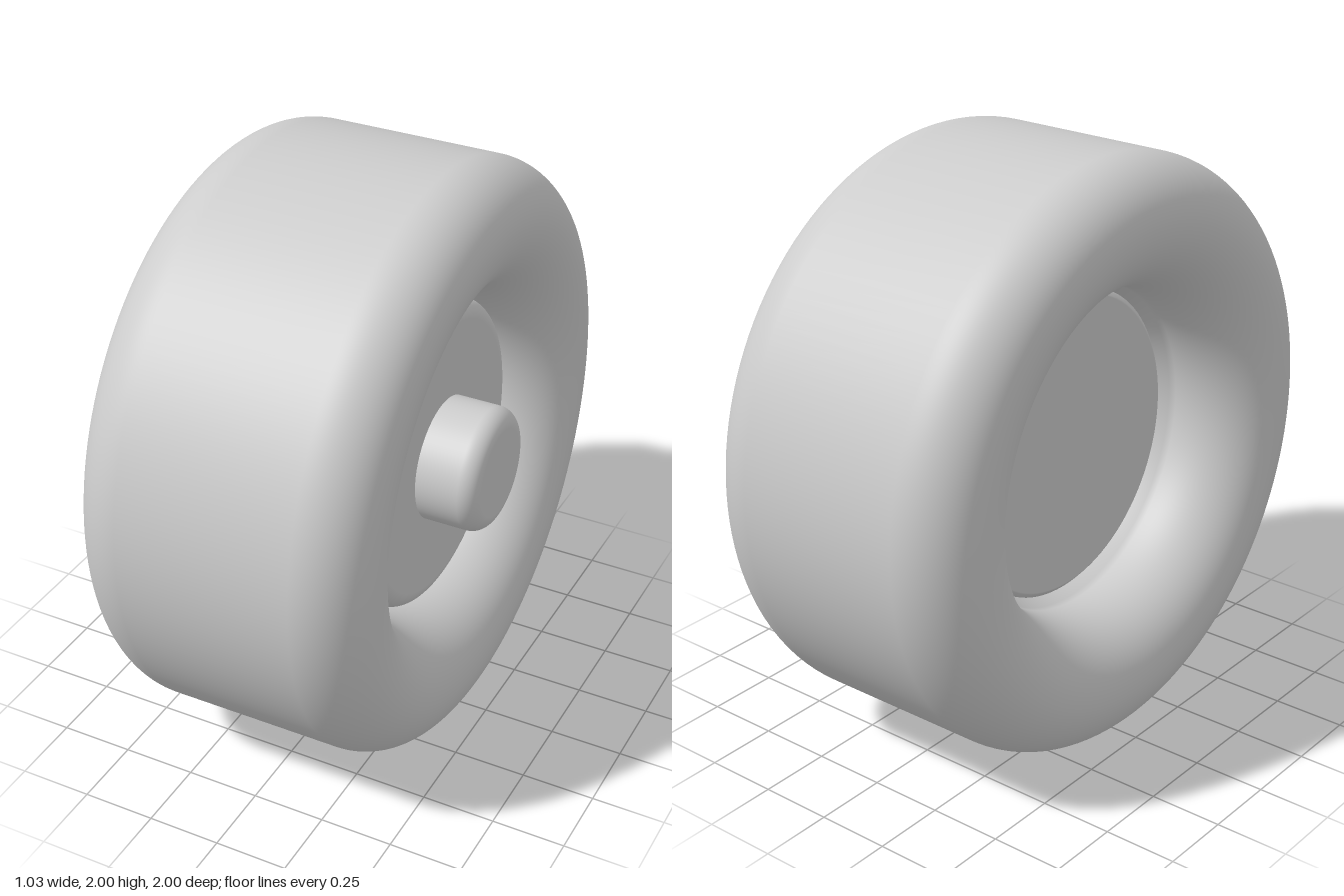
import * as THREE from 'three';

const PI = Math.PI;

export function createModel() {
  const group = new THREE.Group();
  group.name = 'wheel';
  const grey = new THREE.MeshStandardMaterial({ color: 0xcccccc });
  grey.name = 'plain grey';

  // Spins a profile (radius, axial position) around the x axis
  function turn(name, path, segments) {
    const geo = new THREE.LatheGeometry(path.getPoints(14), segments);
    geo.rotateZ(-PI / 2);
    const mesh = new THREE.Mesh(geo, grey);
    mesh.name = name;
    mesh.position.y = 1;
    group.add(mesh);
    return mesh;
  }

  // Tyre: rounded shoulders, sidewalls rolling into a narrow bore
  const half = 0.4975;
  const tyre = new THREE.Path();
  tyre.moveTo(0.5, 0);
  tyre.lineTo(0.5, -0.12);
  tyre.lineTo(0.55, -0.2);
  tyre.absellipse(0.8, -half + 0.27, 0.25, 0.27, PI, 1.5 * PI, false, 0);
  tyre.absarc(0.8, -half + 0.2, 0.2, -PI / 2, 0, false);
  tyre.lineTo(1, half - 0.2);
  tyre.absarc(0.8, half - 0.2, 0.2, 0, PI / 2, false);
  tyre.absellipse(0.8, half - 0.27, 0.25, 0.27, PI / 2, PI, false, 0);
  tyre.lineTo(0.55, 0.2);
  tyre.lineTo(0.5, 0.12);
  tyre.lineTo(0.5, 0);
  turn('tyre', tyre, 128).position.x = -0.0175;

  // Hub disc: flat back with a slight bevel, rounded rim on the outer face
  const hub = new THREE.Path();
  hub.moveTo(0, -0.2);
  hub.lineTo(0.505, -0.2);
  hub.lineTo(0.51, -0.199);
  hub.lineTo(0.525, -0.185);
  hub.lineTo(0.525, -0.18);
  hub.lineTo(0.525, 0.25);
  hub.absarc(0.465, 0.25, 0.06, 0, PI / 2, false);
  hub.lineTo(0, 0.31);
  turn('hubDisc', hub, 96);

  // Axle cap: short boss with a rounded outer edge
  const cap = new THREE.Path();
  cap.moveTo(0.21, 0.28);
  cap.lineTo(0.21, 0.455);
  cap.absarc(0.15, 0.455, 0.06, 0, PI / 2, false);
  cap.lineTo(0, 0.515);
  turn('axleCap', cap, 64);

  return group;
}
